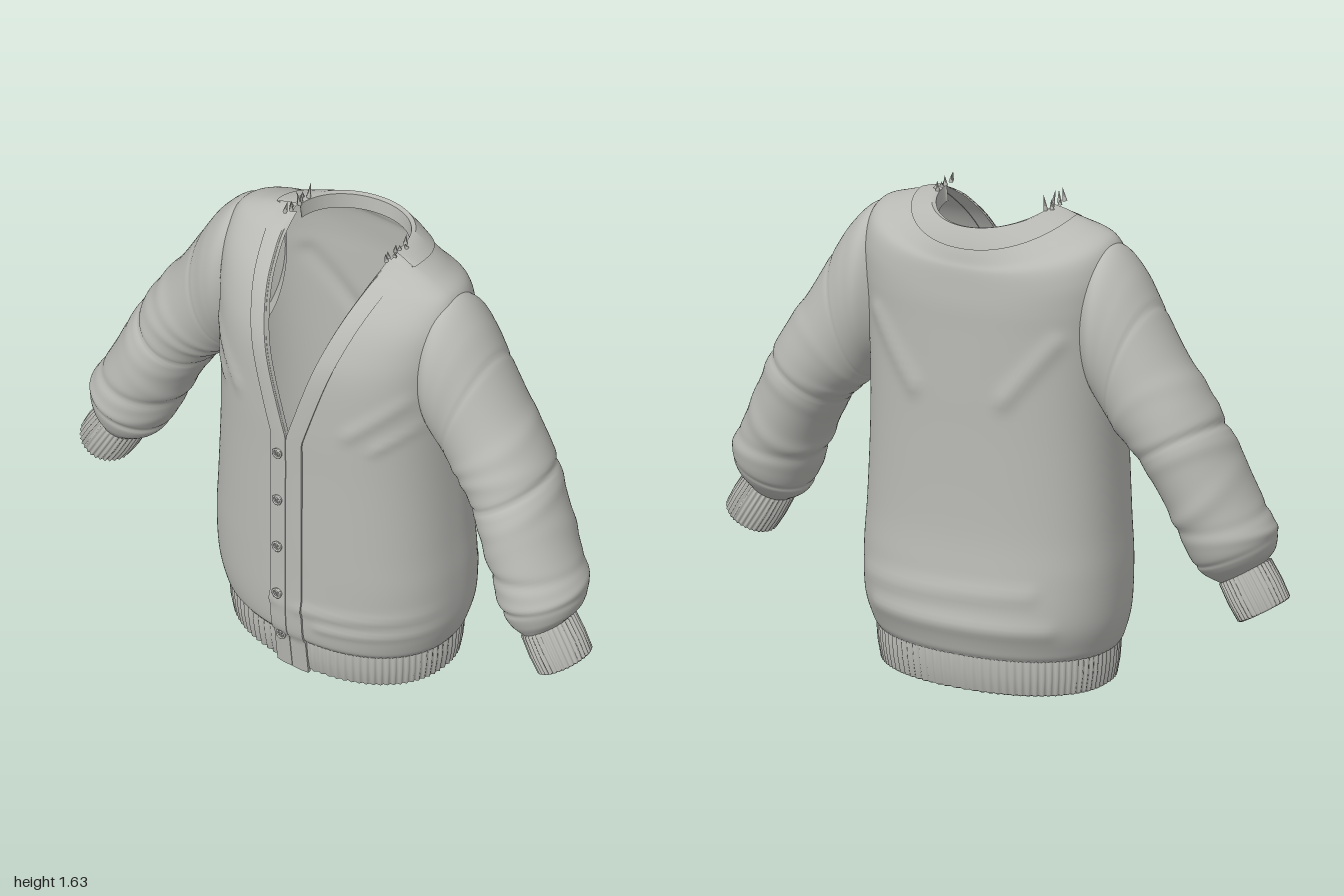
import * as THREE from 'three';
import { toCreasedNormals } from 'three/addons/utils/BufferGeometryUtils.js';

const knit = new THREE.MeshStandardMaterial({ color: 0xb9b9b5, side: THREE.DoubleSide });
knit.name = 'grey knit';
const V = (x, y, z = 0) => new THREE.Vector3(x, y, z);
const spline = pts => new THREE.CatmullRomCurve3(pts, false, 'catmullrom', 0.5);

// Surface through rows of points
function loft(rows, closed, crease) {
  const n = rows[0].length, index = [];
  for (let i = 0; i < rows.length - 1; i++)
    for (let j = 0; j < (closed ? n : n - 1); j++) {
      const k = (j + 1) % n, a = i * n + j, b = i * n + k, c = a + n, d = b + n;
      index.push(a, b, d, a, d, c);
    }
  let g = new THREE.BufferGeometry();
  g.setAttribute('position', new THREE.Float32BufferAttribute(rows.flat().flatMap(p => [p.x, p.y, p.z]), 3));
  g.setIndex(index);
  if (crease) g = toCreasedNormals(g, crease);
  else g.computeVertexNormals();
  return g;
}
function add(parent, name, geometry) {
  const m = new THREE.Mesh(geometry, knit);
  m.name = name;
  parent.add(m);
  return m;
}
const range = (n, f) => Array.from({ length: n + 1 }, (_, i) => f(i / n, i));

// Torso levels: height, half width, front z, back z, drop at the back, roundness
const levels = [
  [0.13, 0.400, 0.288, -0.275, 0, 2.2], [0.16, 0.415, 0.303, -0.290, 0, 2.2],
  [0.25, 0.435, 0.309, -0.310, 0, 2.3], [0.40, 0.438, 0.309, -0.295, 0, 2.4],
  [0.55, 0.430, 0.309, -0.280, 0, 2.4], [0.80, 0.420, 0.308, -0.275, 0, 2.4],
  [1.00, 0.420, 0.308, -0.275, 0, 2.4], [1.20, 0.430, 0.298, -0.275, 0, 2.4],
  [1.32, 0.440, 0.265, -0.275, 0.03, 2.4], [1.42, 0.440, 0.210, -0.270, 0.06, 2.4],
  [1.50, 0.415, 0.135, -0.265, 0.09, 2.3], [1.535, 0.340, 0.090, -0.257, 0.10, 2.2],
  [1.555, 0.270, 0.060, -0.246, 0.08, 2.1], [1.575, 0.200, 0.030, -0.220, 0.035, 2]
];
const sizeCurve = spline(levels.map(l => V(l[0], l[1], l[2])));
const backCurve = spline(levels.map(l => V(l[3], l[4], l[5])));
const neckHalf = y => Math.min(0.2, Math.max(0, (y - 0.93) * 0.2 / 0.64));

// Soft folds: x1, y1, x2, y2, height, width, side (1 front, -1 back)
const folds = [
  [0.22, 1.02, 0.37, 1.16, 0.010, 0.025, 1], [-0.22, 1.02, -0.37, 1.16, 0.010, 0.025, 1],
  [0.30, 0.98, 0.40, 1.06, 0.010, 0.02, 1], [-0.30, 1.0, -0.40, 1.08, 0.010, 0.02, 1],
  [0.05, 0.27, 0.42, 0.31, 0.008, 0.02, 1], [0.12, 0.22, 0.42, 0.24, 0.007, 0.018, 1],
  [0.16, 1.0, 0.32, 1.2, 0.012, 0.03, -1], [-0.16, 1.0, -0.32, 1.2, 0.012, 0.03, -1],
  [-0.3, 0.24, 0.3, 0.24, 0.010, 0.03, -1], [-0.25, 0.36, 0.35, 0.33, 0.008, 0.03, -1]
];
function foldHeight(x, y, side) {
  let h = 0;
  for (const [x1, y1, x2, y2, height, width, s] of folds) {
    if (s * side <= 0) continue;
    const dx = x2 - x1, dy = y2 - y1;
    const k = THREE.MathUtils.clamp(((x - x1) * dx + (y - y1) * dy) / (dx * dx + dy * dy), 0, 1);
    const d = Math.hypot(x - x1 - k * dx, y - y1 - k * dy);
    h += height * Math.exp(-((d / width) ** 2));
  }
  return h;
}
// Point on the torso at level t and angle a (0 is the front centre)
function bodyPoint(t, a, off = 0) {
  const A = sizeCurve.getPoint(t), B = backCurve.getPoint(t), s = Math.sin(a), c = Math.cos(a);
  const x = A.y * Math.sign(s) * Math.abs(s) ** (2 / B.z);
  const z = (c > 0 ? A.z : B.x) * Math.abs(c) ** (2 / B.z);
  const y = A.x - B.y * Math.max(0, -c) ** 1.5;
  const o = off + foldHeight(x, y, c) * Math.abs(c);
  return V(x + s * o, y, z + c * o);
}
function levelAt(y) {
  let lo = 0, hi = 1;
  for (let i = 0; i < 30; i++) {
    const m = (lo + hi) / 2;
    if (sizeCurve.getPoint(m).x < y) lo = m; else hi = m;
  }
  return lo;
}
function angleAt(t, x) {
  const w = sizeCurve.getPoint(t).y, n = backCurve.getPoint(t).z;
  return Math.asin(Math.min(1, x / w) ** (n / 2));
}
function frontPoint(x, y, off) {
  const t = levelAt(Math.max(0.13, y)), p = bodyPoint(t, angleAt(t, Math.abs(x)), off);
  p.x *= Math.sign(x) || 1;
  if (y < 0.13) p.z -= (0.13 - y) * 0.12;
  p.y = y;
  return p;
}

// Ribbed band with an inner wall; section(f, angle, inset) runs down from f = 0 to 1
function ribbed(section, ribs) {
  const profile = [[-0.04, 0.008], [0, 0], [0.5, -0.003], [0.96, 0], [1, 0.008], [0.96, 0.016], [0, 0.02]];
  return loft(profile.map(([f, inset], r) => Array.from({ length: ribs * 4 }, (_, j) => {
    const a = j / (ribs * 4) * Math.PI * 2;
    return section(f, a, inset + (r > 0 && r < 5 ? 0.004 * Math.cos(a * ribs) : 0));
  })), true);
}

// Sleeve rings: outer x, y, inner x, y, centre z, half depth
const rings = [
  [0.36, 1.490, 0.35, 1.02, -0.01, 0.13], [0.43, 1.488, 0.40, 0.97, -0.015, 0.172],
  [0.50, 1.420, 0.42, 0.94, -0.015, 0.172], [0.56, 1.325, 0.44, 0.91, -0.017, 0.165],
  [0.65, 1.170, 0.47, 0.875, -0.018, 0.165], [0.75, 1.020, 0.52, 0.83, -0.012, 0.165],
  [0.82, 0.880, 0.58, 0.74, 0.005, 0.165], [0.895, 0.720, 0.64, 0.62, 0.025, 0.162],
  [0.95, 0.610, 0.69, 0.50, 0.038, 0.155], [0.95, 0.540, 0.725, 0.445, 0.048, 0.130],
  [0.92, 0.493, 0.78, 0.413, 0.058, 0.094]
];
const outer = spline(rings.map(r => V(r[0], r[1])));
const inner = spline(rings.map(r => V(r[2], r[3])));
const depth = spline(rings.map(r => V(r[4], r[5])));
// Creases: position, height, width, tilt, phase
const creases = [
  [0.31, -0.025, 0.008, 0.01, 0], [0.42, 0.03, 0.02, 0.04, 1], [0.50, 0.035, 0.018, 0.03, 2],
  [0.545, -0.06, 0.008, 0.015, 0.5], [0.59, 0.035, 0.018, 0.02, 0], [0.67, 0.045, 0.02, 0.035, 4],
  [0.73, -0.05, 0.014, 0.02, 2], [0.78, 0.04, 0.018, 0.03, 1], [0.835, -0.04, 0.014, 0.02, 3]
];
const ringPoint = (top, low, zc, zh, b) => {
  const c = Math.cos(b) / 2;
  return V((top.x + low.x) / 2 + (top.x - low.x) * c, (top.y + low.y) / 2 + (top.y - low.y) * c, zc + zh * Math.sin(b));
};
function sleeve() {
  const g = new THREE.Group();
  const rows = range(120, t => {
    const o = outer.getPoint(t), i = inner.getPoint(t), d = depth.getPoint(t);
    return Array.from({ length: 64 }, (_, j) => {
      const b = j / 64 * Math.PI * 2;
      let k = 1;
      for (const [t0, h, w, tilt, ph] of creases)
        k += h * Math.exp(-(((t - t0 - tilt * Math.sin(b + ph)) / w) ** 2)) * (0.65 + 0.35 * Math.cos(b - ph));
      const p = ringPoint(o, i, d.x, d.y, b), mid = V((o.x + i.x) / 2, (o.y + i.y) / 2, d.x);
      return p.sub(mid).multiplyScalar(k).add(mid);
    });
  });
  add(g, 'sleeveTube', loft(rows, true));
  add(g, 'sleeveCuff', ribbed((f, b, inset) => {
    const top = V(0.925 + 0.07 * f, 0.493 - 0.118 * f), low = V(0.78 + 0.07 * f, 0.41 - 0.118 * f);
    const k = inset / top.distanceTo(low);
    return ringPoint(top.clone().lerp(low, k), low.clone().lerp(top, k), 0.06, 0.097 - inset, b);
  }, 34));
  return g;
}

export function createModel() {
  const model = new THREE.Group();
  model.name = 'cardigan';

  // Torso, open along the V neck
  add(model, 'torso', loft(range(104, t => {
    const a0 = angleAt(t, neckHalf(sizeCurve.getPoint(t).x));
    return range(144, u => bodyPoint(t, a0 + u * (Math.PI * 2 - 2 * a0)));
  }), false));

  // Ribbed hem
  add(model, 'hem', ribbed((f, a, inset) => {
    const p = bodyPoint(0, a, -inset - 0.015 * f);
    p.y = 0.132 - 0.122 * f;
    return p;
  }, 90));

  for (const side of [1, -1]) {
    const half = new THREE.Group();
    half.name = side > 0 ? 'leftSide' : 'rightSide';
    const arm = sleeve();
    arm.name = 'sleeve';
    half.add(arm);

    // Front band from the hem up along the V neck
    add(half, 'frontBand', loft(range(100, f => {
      const y = 0.003 + f * 1.559, v = neckHalf(y) + 0.001;
      return [[0, -0.014], [0, 0.007], [0.03, 0.009], [0.06, 0.007], [0.06, -0.006]]
        .map(([s, off]) => frontPoint(v + s, y, off));
    }), false, 0.7));

    // Frayed threads at the shoulder seam
    range(6, (f, i) => {
      const h = (side > 0 ? 0.035 : 0.055) * (0.65 + 0.35 * Math.sin(i * 2.3 + 0.6));
      const thread = add(half, 'frayedThread', new THREE.ConeGeometry(0.008, h, 5));
      thread.position.set(0.2 + 0.008 * Math.sin(i * 4), 1.575 + h / 2, 0.06 - 0.11 * f);
      thread.rotation.set(0.25 * Math.sin(i * 3), 0, 0.2 * Math.cos(i * 5));
    });
    half.scale.x = side;
    model.add(half);
  }

  // Back collar, folded over at the neckline
  const collar = [[12, -0.004, 0], [12, 0.008, 0.004], [12.5, 0.01, 0.005], [13, 0.006, 0.004], [13, -0.008, 0], [13, -0.014, -0.05]];
  add(model, 'backCollar', loft(collar.map(([l, off, dy]) => range(72, u => {
    const p = bodyPoint(l / 13, Math.PI * (0.44 + 1.12 * u), off);
    p.y += dy;
    return p;
  })), false, 0.8));

  // Buttons
  for (const y of [0.86, 0.675, 0.49, 0.305, 0.13]) {
    const button = new THREE.Group();
    button.name = 'button';
    add(button, 'buttonDisc', new THREE.CylinderGeometry(0.016, 0.016, 0.008, 20)).rotation.x = Math.PI / 2;
    add(button, 'buttonRim', new THREE.TorusGeometry(0.015, 0.0035, 8, 20)).position.z = 0.004;
    for (const r of [1, -1]) {
      const stitch = add(button, 'buttonStitch', new THREE.BoxGeometry(0.016, 0.003, 0.004));
      stitch.position.z = 0.005;
      stitch.rotation.z = r * Math.PI / 4;
    }
    button.position.copy(frontPoint(-0.028, y, 0.012));
    model.add(button);
  }
  return model;
}
